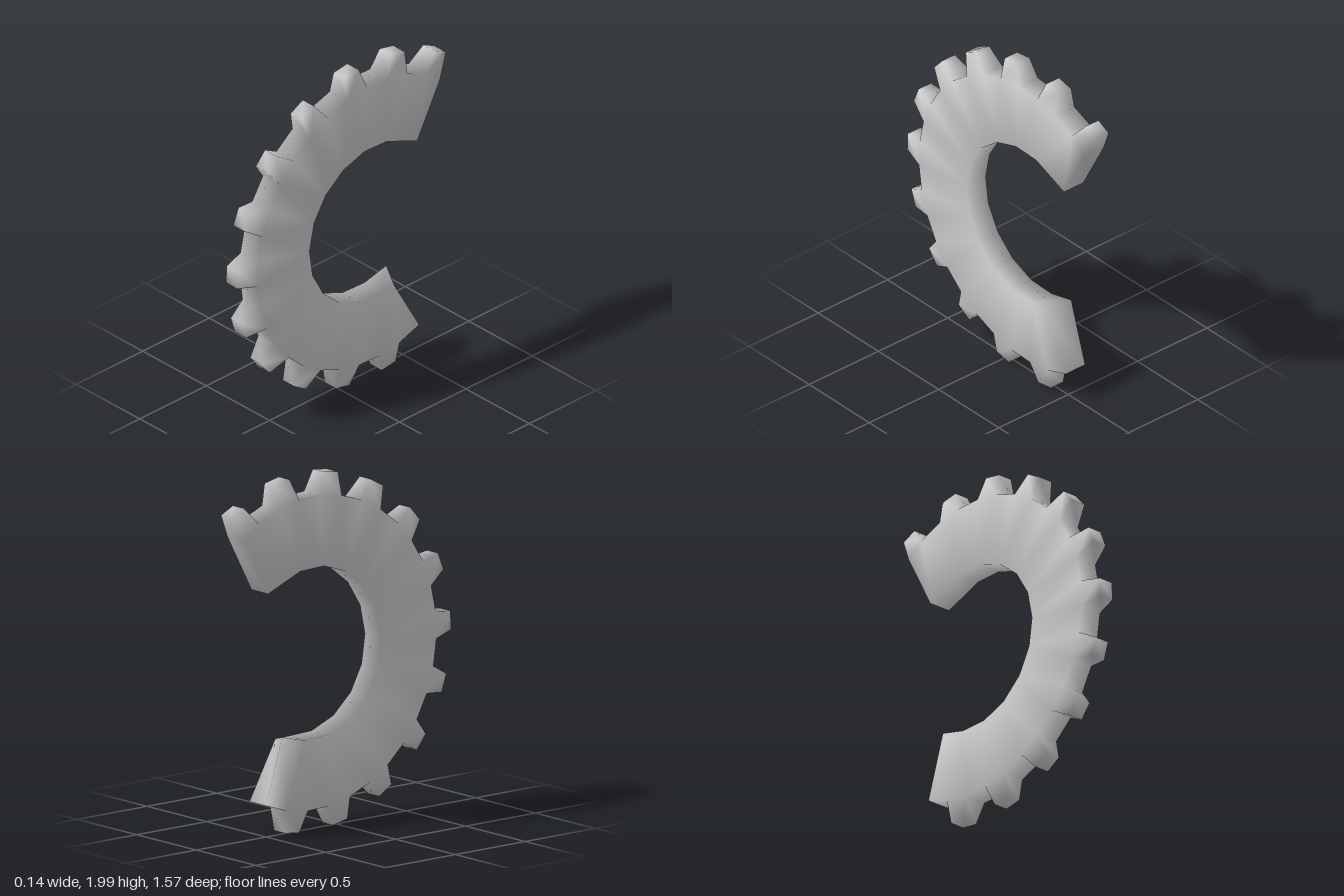
import * as THREE from 'three';

const TEETH = 12, PITCH = 20, FIRST = -98; // degrees
const CZ = -0.215, CY = 1.002;             // gear centre
const ROOT_X = 0.07, TIP_X = 0.045;        // half thicknesses

// point on the gear plane: [z, y, half thickness]
function polar(deg, r, x = ROOT_X) {
  const a = THREE.MathUtils.degToRad(deg);
  return [CZ + r * Math.cos(a), CY + r * Math.sin(a), x];
}

function brokenGearGeometry() {
  // outline: lower break, teeth, then back along the bore
  const outline = [[-0.56, 0.2, ROOT_X]];
  for (let j = 0; j < TEETH; j++) {
    const a = FIRST + j * PITCH;
    outline.push(polar(a - 5, 0.875), polar(a - 3, 1, TIP_X), polar(a + 3, 1, TIP_X), polar(a + 5, 0.875));
  }
  // the upper break cuts the last tooth
  outline[4 * TEETH - 1] = [-0.785, 1.835, TIP_X];
  outline[4 * TEETH] = [-0.717, 1.7, ROOT_X];
  const boreStart = outline.length;
  outline.push([-0.545, 1.38, ROOT_X]);
  for (let j = TEETH - 2; j >= 0; j--) outline.push(polar(FIRST + j * PITCH, 0.481));
  outline.push([-0.375, 0.525, ROOT_X]);

  const pos = [], index = [];
  outline.forEach(([z, y, x]) => pos.push(x, y, z, -x, y, z));
  // the lower break is slanted: its far inner corner reaches further out
  pos.splice(pos.length - 2, 2, 0.565, -0.445);

  // matching triangles on both flat sides
  const tri = (a, b, c) => index.push(2 * a, 2 * c, 2 * b, 2 * a + 1, 2 * b + 1, 2 * c + 1);
  const n = outline.length;
  const bore = j => boreStart + TEETH - 1 - j;
  for (let j = 0; j < TEETH; j++) {
    const r = 1 + 4 * j;
    tri(r, r + 1, r + 2);
    tri(r, r + 2, r + 3);
    tri(bore(j), r, r + 3);
    tri(bore(j - 1), r - 1, r);
    tri(bore(j - 1), r, bore(j));
  }
  // rim, bore and broken ends
  for (let i = 0; i < n; i++) {
    const a = 2 * i, b = 2 * ((i + 1) % n);
    index.push(a, b, b + 1, a, b + 1, a + 1);
  }

  const geo = new THREE.BufferGeometry();
  geo.setAttribute('position', new THREE.Float32BufferAttribute(pos, 3));
  geo.setIndex(index);
  geo.computeVertexNormals(); // shared vertices keep the worn, soft shading
  return geo;
}

export function createModel() {
  const group = new THREE.Group();
  group.name = 'brokenGear';
  const metal = new THREE.MeshStandardMaterial({ color: 0xcccccc });
  metal.name = 'grey metal';
  const gear = new THREE.Mesh(brokenGearGeometry(), metal);
  gear.name = 'gearSegment';
  group.add(gear);
  return group;
}
